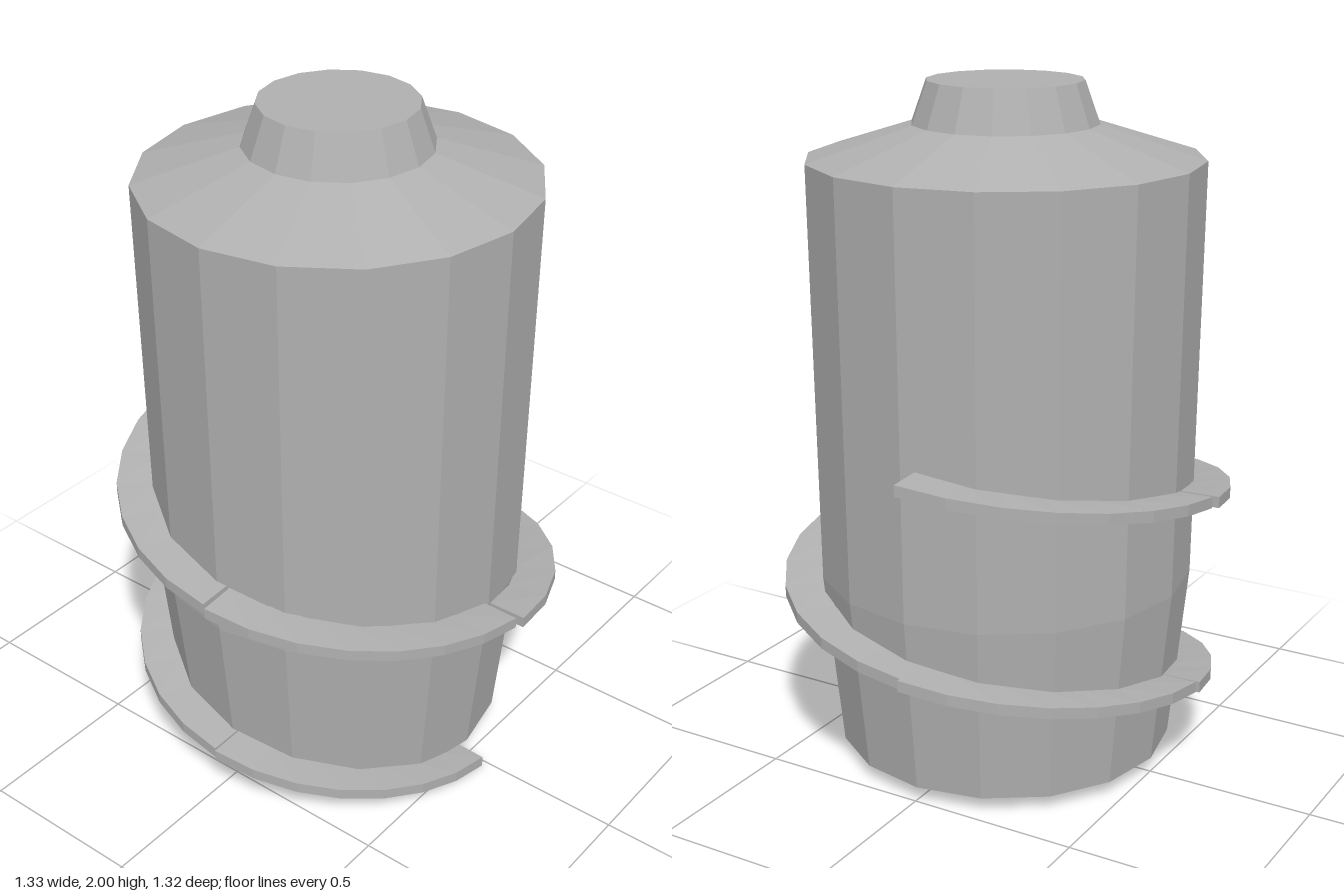
import * as THREE from 'three';

const metal = new THREE.MeshStandardMaterial({ color: 0xb0b0b0, flatShading: true });
metal.name = 'grey metal';

const THICKNESS = 0.033;
const deg = Math.PI / 180;
// the ramp climbs steadily with angle
const rampHeight = (angle) => (angle - 2) * 0.00158;

// One curved ramp plate: a rectangular section swept from angle a0 to a1 (degrees, right to front)
function rampPlate(a0, a1, r0, r1, steps = 7) {
  const pos = [], index = [];
  for (let i = 0; i <= steps; i++) {
    const t = i / steps, a = a0 + (a1 - a0) * t;
    const outer = r0 + (r1 - r0) * t, inner = outer - 0.115;
    const y = rampHeight(a), c = Math.cos(a * deg), s = Math.sin(a * deg);
    for (const [r, h] of [[inner, y], [outer, y], [outer, y + THICKNESS], [inner, y + THICKNESS]])
      pos.push(r * c, h + 0.005, r * s);
  }
  for (let i = 0; i < steps; i++) {
    for (let j = 0; j < 4; j++) {
      const a = i * 4 + j, b = i * 4 + (j + 1) % 4;
      index.push(a, b, b + 4, a, b + 4, a + 4);
    }
  }
  const e = steps * 4;
  index.push(0, 2, 1, 0, 3, 2, e, e + 1, e + 2, e, e + 2, e + 3);
  const geo = new THREE.BufferGeometry();
  geo.setAttribute('position', new THREE.Float32BufferAttribute(pos, 3));
  geo.setIndex(index);
  const flat = geo.toNonIndexed();
  flat.computeVertexNormals();
  return flat;
}

export function createModel() {
  const model = new THREE.Group();
  model.name = 'tankWithSpiralRamp';

  // Sixteen-sided tank: tapered base, straight wall, shoulder and neck
  const profile = [
    [0, 0.05], [0.497, 0.05], [0.549, 0.575], [0.564, 1.785],
    [0.265, 1.88], [0.222, 2], [0, 2],
  ].map(([r, y]) => new THREE.Vector2(r, y));
  const tank = new THREE.Mesh(new THREE.LatheGeometry(profile, 16), metal);
  tank.name = 'tank';
  tank.position.set(-0.005, 0, -0.003);
  model.add(tank);

  // Spiral ramp in quarter-turn plates: start angle, end angle, outer radius at each end
  const ramp = new THREE.Group();
  ramp.name = 'spiralRamp';
  [
    [2, 88.5, 0.567, 0.61],
    [89, 177.5, 0.603, 0.637],
    [178, 266, 0.627, 0.65],
    [265, 359.8, 0.638, 0.665],
    [361.2, 446.1, 0.65, 0.658],
    [447.3, 536.1, 0.646, 0.67],
    [537.3, 625.2, 0.655, 0.665],
  ].forEach((p, i) => {
    const plate = new THREE.Mesh(rampPlate(...p), metal);
    plate.name = `rampPlate${i + 1}`;
    ramp.add(plate);
  });
  model.add(ramp);
  return model;
}
